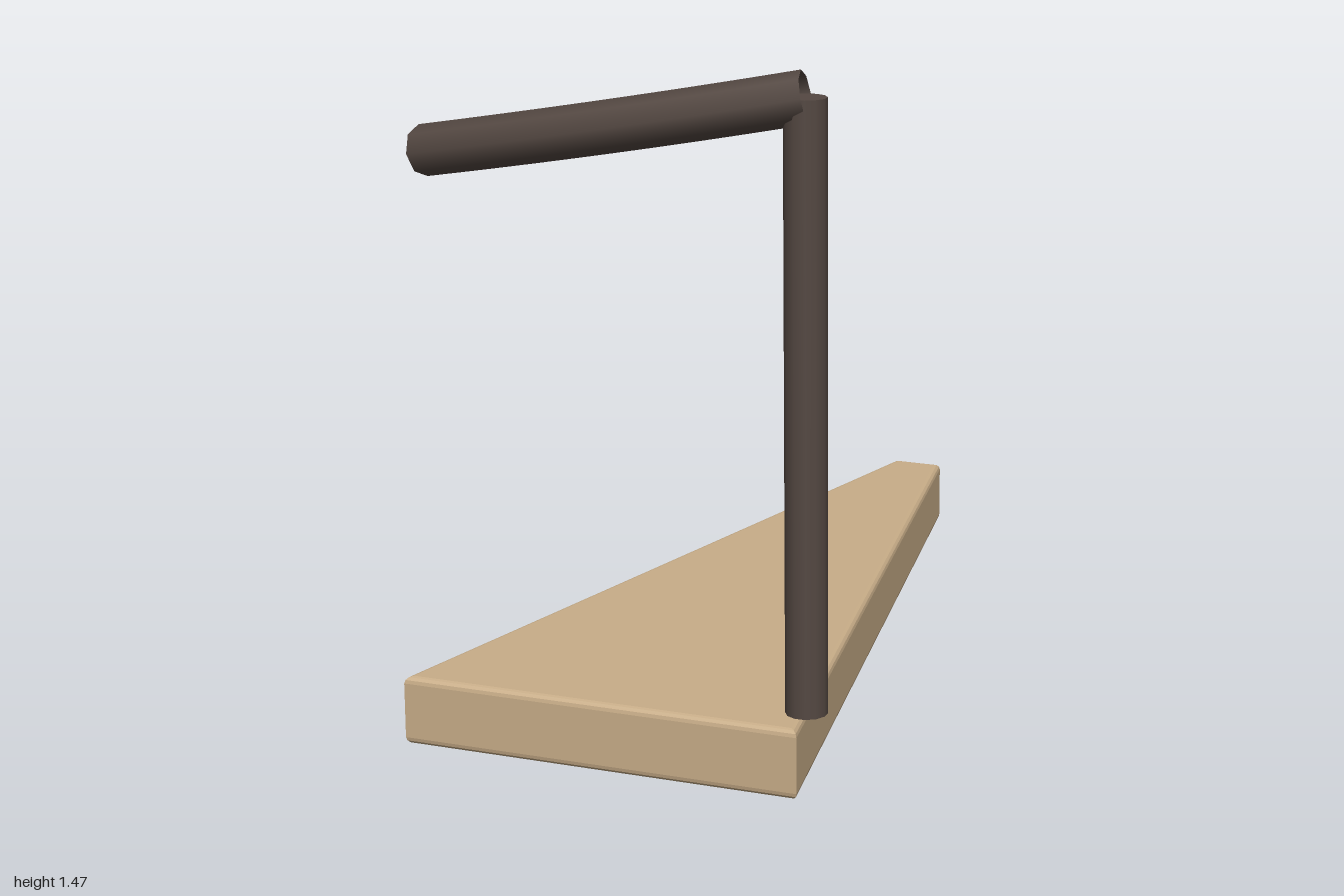
import * as THREE from 'three';

const wood = new THREE.MeshStandardMaterial({ color: 0xc8ad88 });
wood.name = 'paleWood';
const dark = new THREE.MeshStandardMaterial({ color: 0x544842, side: THREE.DoubleSide });
dark.name = 'darkWood';

// Arc that drops steadily as it sweeps around a vertical axis
class HelixCurve extends THREE.Curve {
  constructor(cx, cz, radius, sweep, y0, y1) {
    super();
    Object.assign(this, { cx, cz, radius, sweep, y0, y1 });
  }
  getPoint(t, target = new THREE.Vector3()) {
    const a = t * this.sweep;
    return target.set(
      this.cx + this.radius * Math.sin(a),
      this.y0 + (this.y1 - this.y0) * t,
      this.cz + this.radius * Math.cos(a)
    );
  }
}

function addMesh(group, name, geometry, material) {
  const mesh = new THREE.Mesh(geometry, material);
  mesh.name = name;
  group.add(mesh);
  return mesh;
}

export function createModel() {
  const group = new THREE.Group();
  group.name = 'winderStep';

  // Wedge tread with softened edges
  const bevel = 0.015, height = 0.15;
  const outline = [[-0.435, 1.0], [0.437, 0.823], [-0.315, -1.003], [-0.435, -0.98]];
  const shape = new THREE.Shape(outline.map(([x, z]) => new THREE.Vector2(x, -z)));
  const treadGeometry = new THREE.ExtrudeGeometry(shape, {
    depth: height - 2 * bevel,
    bevelSize: bevel,
    bevelThickness: bevel,
    bevelOffset: -bevel,
    bevelSegments: 3
  });
  treadGeometry.rotateX(-Math.PI / 2).translate(0, bevel, 0);
  addMesh(group, 'tread', treadGeometry, wood);

  // Upright post at the narrow front corner
  const post = addMesh(group, 'post', new THREE.CylinderGeometry(0.044, 0.044, 1.27, 12), dark);
  post.position.set(0.396, height + 0.635, 0.722);

  // Curved sloping handrail, open at both ends
  const path = new HelixCurve(-0.435, -1.285, 2.17, Math.PI / 8, 1.258, 1.42);
  addMesh(group, 'handrail', new THREE.TubeGeometry(path, 16, 0.054, 8), dark);

  return group;
}
